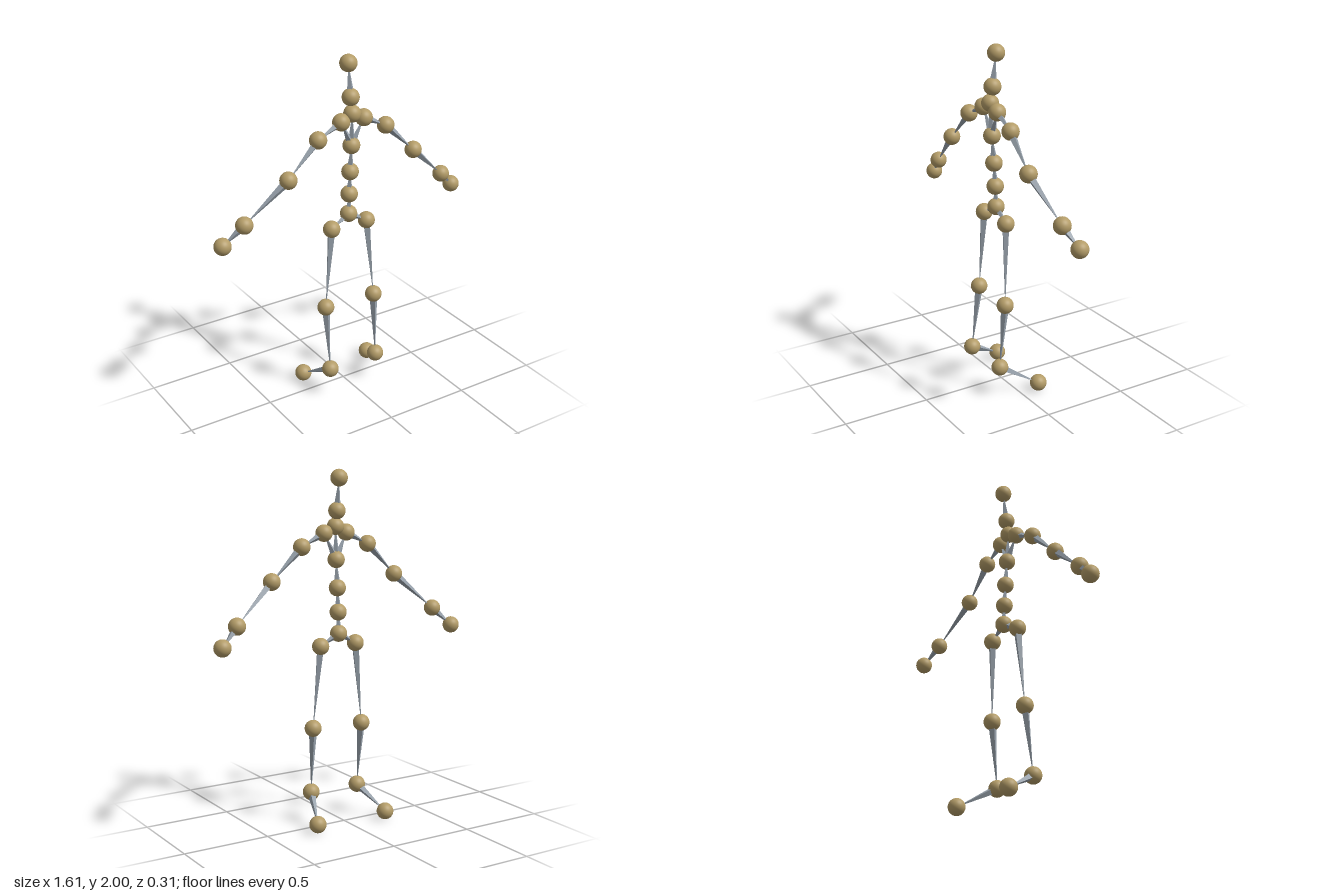
import * as THREE from 'three';

const JOINT_RADIUS = 0.048;
const BONE_RADIUS = 0.025;

// Each joint: [name, parent, x, y, z]
const joints = [
  ['pelvis', null, 0.01, 1.09, 0.04],
  ['lowerSpine', 'pelvis', 0.01, 1.21, 0.045],
  ['middleSpine', 'lowerSpine', 0.01, 1.345, 0.053],
  ['upperSpine', 'middleSpine', 0.01, 1.502, 0.065],
  ['neck', 'upperSpine', 0.008, 1.685, 0.075],
  ['head', 'neck', 0.008, 1.772, 0.06],
  ['headTop', 'head', 0.008, 1.952, 0.037],

  ['rightCollar', 'upperSpine', -0.062, 1.65, 0.076],
  ['rightShoulder', 'rightCollar', -0.208, 1.58, 0.08],
  ['rightElbow', 'rightShoulder', -0.396, 1.397, 0.086],
  ['rightWrist', 'rightElbow', -0.642, 1.184, 0.042],
  ['rightHand', 'rightWrist', -0.758, 1.078, 0.01],

  ['leftCollar', 'upperSpine', 0.082, 1.65, 0.076],
  ['leftShoulder', 'leftCollar', 0.222, 1.58, 0.08],
  ['leftElbow', 'leftShoulder', 0.407, 1.4, 0.087],
  ['leftWrist', 'leftElbow', 0.647, 1.184, 0.037],
  ['leftHand', 'leftWrist', 0.753, 1.083, 0.0],

  ['rightHip', 'pelvis', -0.106, 1.025, 0.047],
  ['rightKnee', 'rightHip', -0.153, 0.552, 0.056],
  ['rightAnkle', 'rightKnee', -0.156, 0.17, 0.105],
  ['rightToe', 'rightAnkle', -0.214, 0.052, -0.104],

  ['leftHip', 'pelvis', 0.124, 1.025, 0.047],
  ['leftKnee', 'leftHip', 0.16, 0.555, 0.073],
  ['leftAnkle', 'leftKnee', 0.156, 0.174, 0.105],
  ['leftToe', 'leftAnkle', 0.238, 0.054, -0.104],
];

export function createModel() {
  const group = new THREE.Group();
  group.name = 'jointedFigure';

  const jointMaterial = new THREE.MeshStandardMaterial({ color: 0xb39c68 });
  const boneMaterial = new THREE.MeshStandardMaterial({ color: 0x98a2ac, flatShading: true });

  const ball = new THREE.SphereGeometry(JOINT_RADIUS, 32, 24);
  // Unit-long four-sided spike, base at the origin, tip at y = 1
  const spike = new THREE.ConeGeometry(BONE_RADIUS, 1, 4).translate(0, 0.5, 0);

  const up = new THREE.Vector3(0, 1, 0);
  const positions = {};

  for (const [name, parent, x, y, z] of joints) {
    const position = new THREE.Vector3(x, y, z);
    positions[name] = position;

    // Ball at the joint
    const joint = new THREE.Mesh(ball, jointMaterial);
    joint.name = name + 'Joint';
    joint.position.copy(position);
    group.add(joint);

    // Bone tapering from the parent joint to this one
    if (parent) {
      const start = positions[parent];
      const direction = position.clone().sub(start);
      const length = direction.length();
      const bone = new THREE.Mesh(spike, boneMaterial);
      bone.name = name + 'Bone';
      bone.position.copy(start);
      bone.scale.y = length;
      bone.quaternion.setFromUnitVectors(up, direction.divideScalar(length));
      group.add(bone);
    }
  }
  return group;
}
